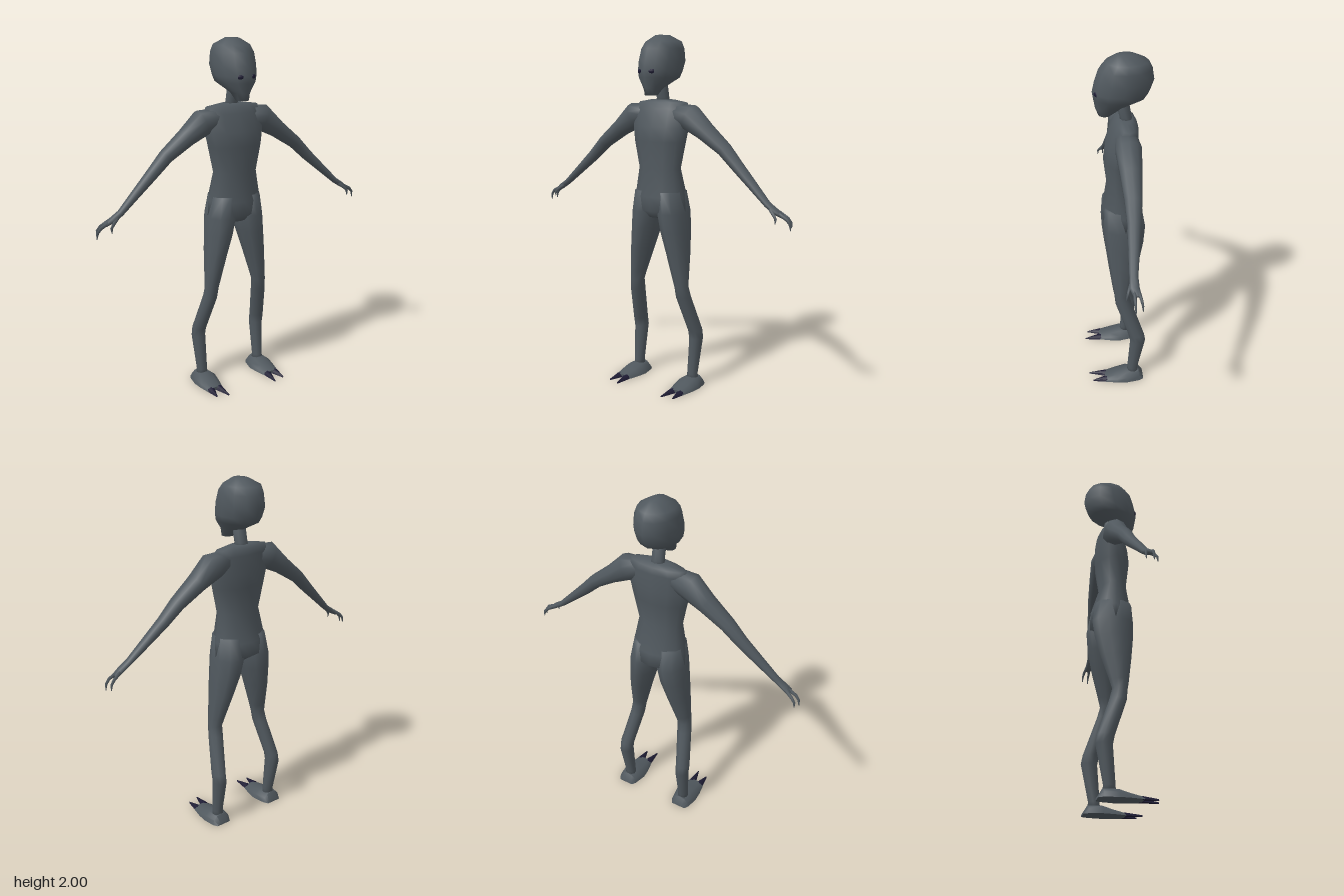
import * as THREE from 'three';
import { toCreasedNormals } from 'three/addons/utils/BufferGeometryUtils.js';

const V = (x, y, z) => new THREE.Vector3(x, y, z);

// Closed skin through rings { c: centre, u, v: half axes }, advancing along u x v
function loft(rings, sides = 12, shape = (p) => p) {
  const pos = [], idx = [], n = rings.length;
  for (const { c, u, v } of rings) {
    for (let j = 0; j < sides; j++) {
      const a = (j / sides) * Math.PI * 2;
      const p = shape(c.clone().addScaledVector(u, Math.cos(a)).addScaledVector(v, Math.sin(a)), c);
      pos.push(p.x, p.y, p.z);
    }
  }
  for (let i = 0; i < n - 1; i++) {
    for (let j = 0; j < sides; j++) {
      const a = i * sides + j, b = i * sides + (j + 1) % sides;
      idx.push(a, b, a + sides, b, b + sides, a + sides);
    }
  }
  const first = n * sides, last = first + 1, top = (n - 1) * sides;
  pos.push(...rings[0].c.toArray(), ...rings[n - 1].c.toArray());
  for (let j = 0; j < sides; j++) {
    const k = (j + 1) % sides;
    idx.push(first, k, j, last, top + j, top + k);
  }
  const g = new THREE.BufferGeometry();
  g.setAttribute('position', new THREE.Float32BufferAttribute(pos, 3));
  g.setIndex(idx);
  g.computeVertexNormals();
  return g;
}

// Level rings, bottom to top: [y, x centre, half width, back z, front z]
const levels = (rows) => rows.map(([y, x, w, back, front]) => ({
  c: V(x, y, (back + front) / 2), u: V(0, 0, (front - back) / 2), v: V(w, 0, 0),
}));

// Rings across a limb: [x, y, z, half thickness, half depth in z]
const limb = (rows) => rows.map(([x, y, z, t, d], i) => {
  const a = rows[Math.max(i - 1, 0)], b = rows[Math.min(i + 1, rows.length - 1)];
  const dir = V(b[0] - a[0], b[1] - a[1], 0).normalize();
  return { c: V(x, y, z), u: V(-dir.y * t, dir.x * t, 0), v: V(0, 0, d) };
});

// Flat-bottomed rings from heel to toe: [z, x centre, half width, height]
const sole = (rows, sides) => toCreasedNormals(loft(rows.map(([z, x, w, h]) => ({
  c: V(x, 0, z), u: V(w, 0, 0), v: V(0, h, 0),
})), sides, (p) => { p.y = Math.max(p.y, 0); return p; }), 0.9);

function mirrored(geometry) {
  const g = geometry.index ? geometry.toNonIndexed() : geometry.clone();
  for (const name of ['position', 'normal']) {
    const at = g.attributes[name], p = V(0, 0, 0), q = V(0, 0, 0);
    for (let i = 0; i < at.count; i++) at.setX(i, -at.getX(i));
    for (let i = 0; i < at.count; i += 3) {
      p.fromBufferAttribute(at, i + 1);
      q.fromBufferAttribute(at, i + 2);
      at.setXYZ(i + 1, q.x, q.y, q.z);
      at.setXYZ(i + 2, p.x, p.y, p.z);
    }
  }
  return g;
}

export function createModel() {
  const model = new THREE.Group();
  model.name = 'figure';
  const skin = new THREE.MeshStandardMaterial({ color: 0x50585e });
  skin.name = 'slate skin';
  const dark = new THREE.MeshStandardMaterial({ color: 0x1e1c34 });
  dark.name = 'dark navy';

  const add = (name, geometry, material = skin) => {
    const mesh = new THREE.Mesh(geometry, material);
    mesh.name = name;
    model.add(mesh);
  };
  const pair = (name, geometry, material) => {
    add('left' + name, geometry, material);
    add('right' + name, mirrored(geometry), material);
  };

  // Torso, from crotch to collar
  add('torso', loft(levels([
    [0.99, 0, 0.07, -0.08, 0.05],
    [1.03, 0, 0.166, -0.143, 0.085],
    [1.11, 0, 0.16, -0.14, 0.09],
    [1.27, 0, 0.135, -0.09, 0.062],
    [1.42, 0, 0.165, -0.113, 0.08],
    [1.5, 0, 0.183, -0.115, 0.068],
    [1.6, 0, 0.185, -0.11, 0.038],
    [1.635, 0, 0.165, -0.1, 0.01],
    [1.65, 0, 0.075, -0.08, -0.005],
  ])));
  add('neck', loft(levels([
    [1.62, 0, 0.045, -0.085, -0.01],
    [1.66, 0, 0.038, -0.075, -0.01],
    [1.76, 0, 0.037, -0.055, 0.015],
  ]), 8));

  // Head, narrowing towards the face
  add('head', loft(levels([
    [1.675, 0, 0.037, 0.035, 0.102],
    [1.715, 0, 0.046, -0.03, 0.118],
    [1.77, 0, 0.103, -0.145, 0.128],
    [1.805, 0, 0.111, -0.17, 0.134],
    [1.86, 0, 0.118, -0.19, 0.122],
    [1.925, 0, 0.112, -0.18, 0.1],
    [1.965, 0, 0.097, -0.16, 0.065],
    [2.0, 0, 0.035, -0.09, 0.01],
  ])));
  const eye = new THREE.SphereGeometry(1, 10, 6).scale(0.018, 0.012, 0.006);
  pair('Eye', eye.rotateY(0.55).translate(0.042, 1.805, 0.117), dark);

  // Arms and three-fingered hands
  pair('Arm', loft(limb([
    [0.1, 1.575, -0.035, 0.055, 0.06],
    [0.19, 1.555, -0.036, 0.076, 0.07],
    [0.29, 1.483, -0.036, 0.052, 0.06],
    [0.415, 1.393, -0.033, 0.039, 0.047],
    [0.5, 1.31, -0.027, 0.033, 0.037],
    [0.6, 1.22, -0.014, 0.025, 0.03],
    [0.7, 1.13, 0, 0.017, 0.023],
    [0.75, 1.098, 0.002, 0.016, 0.026],
    [0.785, 1.075, -0.008, 0.01, 0.02],
  ]), 10));
  const finger = (name, rows) => pair(name, loft(limb(rows), 6));
  finger('OuterFinger', [
    [0.76, 1.095, -0.015, 0.011, 0.01], [0.805, 1.066, -0.026, 0.01, 0.008],
    [0.822, 1.045, -0.03, 0.008, 0.006], [0.826, 1.015, -0.031, 0.002, 0.002],
  ]);
  finger('MiddleFinger', [
    [0.76, 1.093, 0.003, 0.011, 0.01], [0.815, 1.065, 0.007, 0.01, 0.008],
    [0.833, 1.042, 0.006, 0.008, 0.006], [0.838, 1.008, 0.005, 0.002, 0.002],
  ]);
  finger('Thumb', [
    [0.72, 1.115, 0.014, 0.012, 0.01], [0.755, 1.082, 0.033, 0.009, 0.008],
    [0.769, 1.066, 0.04, 0.008, 0.006], [0.768, 1.04, 0.043, 0.002, 0.002],
  ]);

  // Legs, from ankle to hip
  pair('Leg', loft(levels([
    [0.03, 0.195, 0.034, -0.108, -0.035],
    [0.07, 0.195, 0.031, -0.102, -0.038],
    [0.28, 0.2, 0.04, -0.145, -0.053],
    [0.33, 0.199, 0.041, -0.135, -0.043],
    [0.54, 0.164, 0.042, -0.064, 0.03],
    [0.6, 0.158, 0.042, -0.048, 0.036],
    [0.65, 0.15, 0.047, -0.062, 0.045],
    [0.8, 0.125, 0.062, -0.107, 0.067],
    [0.92, 0.102, 0.076, -0.135, 0.082],
    [1.02, 0.088, 0.083, -0.146, 0.088],
    [1.14, 0.08, 0.07, -0.125, 0.08],
  ]), 10));

  // Feet, each with two claws
  pair('Foot', sole([
    [-0.132, 0.195, 0.045, 0.012],
    [-0.105, 0.195, 0.06, 0.055],
    [-0.03, 0.193, 0.073, 0.055],
    [0.03, 0.194, 0.066, 0.036],
    [0.1, 0.196, 0.05, 0.02],
  ], 12));
  for (const [name, x, tipX, tipZ] of [['OuterClaw', 0.221, 0.228, 0.175], ['InnerClaw', 0.171, 0.16, 0.192]]) {
    pair(name, sole([[0.09, x, 0.026, 0.021], [tipZ, tipX, 0.003, 0.008]], 8), dark);
  }
  return model;
}
